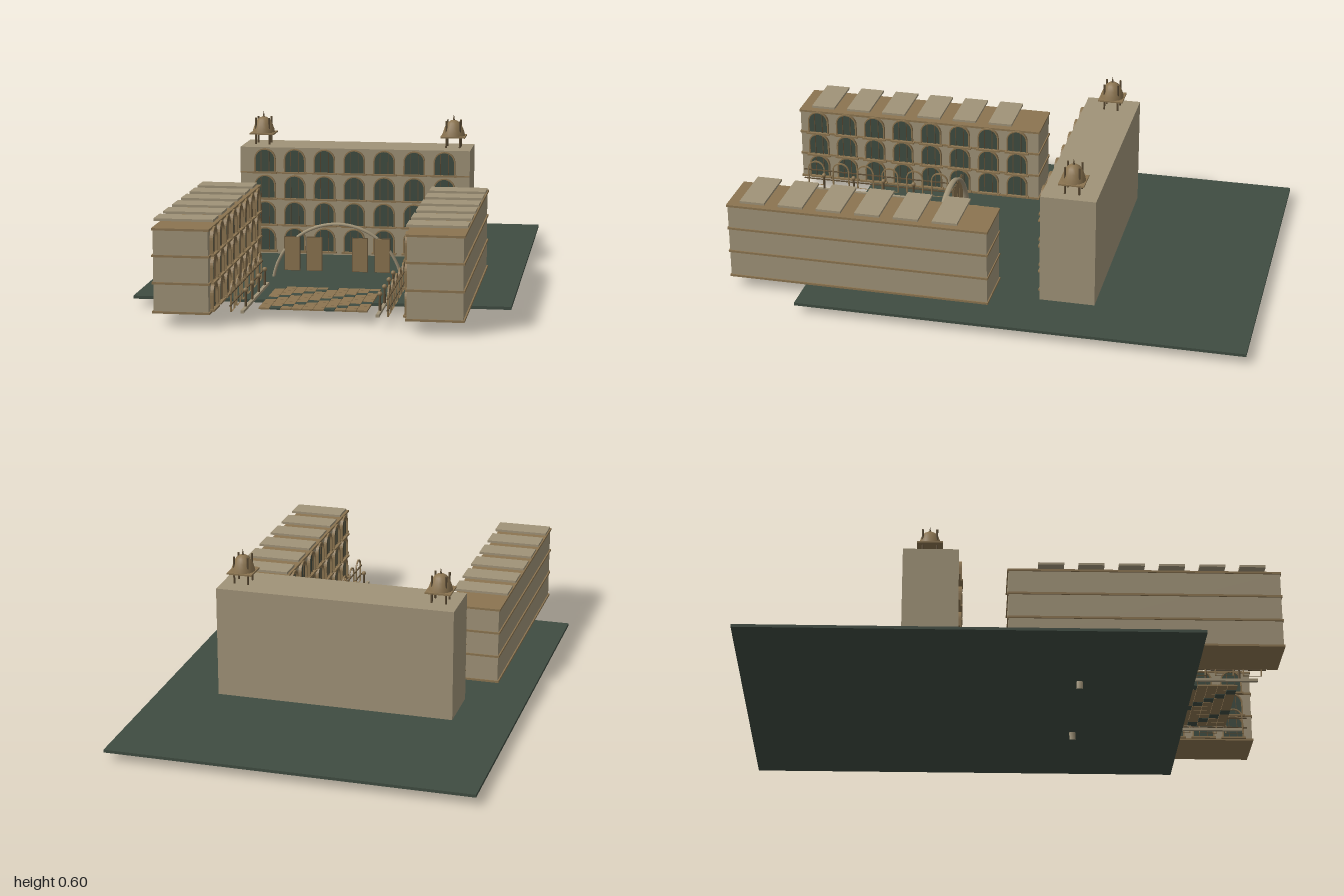
import * as THREE from 'three';

const mat = (name, color, side = THREE.FrontSide) => {
  const m = new THREE.MeshStandardMaterial({ color, side });
  m.name = name;
  return m;
};
const stone = mat('sandstone', 0xa09378);
const wood = mat('brown stone', 0x8b7450, THREE.DoubleSide);
const trim = mat('dark trim', 0x5e4e36);
const green = mat('dark green', 0x3f4c41, THREE.DoubleSide);

function add(parent, name, geo, material, x = 0, y = 0, z = 0) {
  const m = new THREE.Mesh(geo, material);
  m.name = name;
  m.position.set(x, y, z);
  parent.add(m);
  return m;
}

// Box given by its minimum and maximum on each axis
function box(parent, name, material, x0, x1, y0, y1, z0, z1) {
  return add(parent, name, new THREE.BoxGeometry(x1 - x0, y1 - y0, z1 - z0), material,
    (x0 + x1) / 2, (y0 + y1) / 2, (z0 + z1) / 2);
}

function group(parent, name, x = 0, y = 0, z = 0) {
  const g = new THREE.Group();
  g.name = name;
  g.position.set(x, y, z);
  parent.add(g);
  return g;
}

// Round-headed outline standing on y = 0
function archOutline(Type, half, spring) {
  const p = new Type();
  p.moveTo(-half, 0);
  p.lineTo(half, 0);
  p.lineTo(half, spring);
  p.absarc(0, spring, half, 0, Math.PI, false);
  p.lineTo(-half, 0);
  return p;
}

function archFrame(outer, inner, spring, depth) {
  const s = archOutline(THREE.Shape, outer, spring);
  s.holes.push(archOutline(THREE.Path, inner, spring));
  return new THREE.ExtrudeGeometry(s, { depth, bevelEnabled: false, curveSegments: 8 });
}

const paneGeo = new THREE.ShapeGeometry(archOutline(THREE.Shape, 0.039, 0.053), 8);
const frameGeo = archFrame(0.043, 0.038, 0.053, 0.012);
const sillGeo = new THREE.BoxGeometry(0.098, 0.007, 0.016);
const barGeo = new THREE.BoxGeometry(0.003, 0.082, 0.004);

// Arched window facing +z with frame, sill and two bars
function archWindow(parent, x, y, z, turn = 0) {
  const g = group(parent, 'archedWindow', x, y, z);
  g.rotation.y = turn;
  add(g, 'pane', paneGeo, green, 0, 0, 0.003);
  add(g, 'frame', frameGeo, wood);
  add(g, 'sill', sillGeo, wood, 0, -0.001, 0.008);
  for (const s of [-1, 1]) add(g, 'bar', barGeo, trim, s * 0.016, 0.042, 0.005);
}

// Four-posted roof pavilion with dome
function cupola(parent, x) {
  const g = group(parent, 'cupola', x, 0.472, -0.3);
  for (const sx of [-1, 1]) for (const sz of [-1, 1]) {
    add(g, 'post', new THREE.CylinderGeometry(0.004, 0.004, 0.11, 8), trim, sx * 0.027, 0.052, sz * 0.027);
  }
  box(g, 'eave', wood, -0.049, 0.049, 0.041, 0.047, -0.049, 0.049);
  const profile = [[0.046, 0.047], [0.043, 0.06], [0.036, 0.08], [0.026, 0.098], [0.013, 0.107], [0, 0.11]]
    .map(([r, y]) => new THREE.Vector2(r, y));
  add(g, 'dome', new THREE.LatheGeometry(profile, 16), wood);
  add(g, 'finial', new THREE.ConeGeometry(0.005, 0.026, 8), trim, 0, 0.119, 0);
}

function mainBuilding(parent) {
  const g = group(parent, 'mainBuilding');
  box(g, 'mainBlock', stone, -0.46, 0.46, 0.042, 0.472, -0.4, -0.19);
  for (let row = 0; row < 4; row++) {
    for (let i = -3; i <= 3; i++) archWindow(g, i * 0.12, 0.054 + row * 0.106, -0.19);
    if (row) box(g, 'floorLedge', wood, -0.46, 0.46, 0.05 + row * 0.106, 0.055 + row * 0.106, -0.19, -0.183);
  }
  for (const s of [-1, 1]) cupola(g, s * 0.385);
}

function wing(parent, s) {
  const g = group(parent, s > 0 ? 'leftWing' : 'rightWing', s * 0.447);
  box(g, 'wingBlock', stone, -0.098, 0.098, 0.048, 0.345, -0.008, 0.996);
  for (const y of [0.049, 0.153, 0.25, 0.345]) {
    box(g, 'floorBand', wood, -0.103, 0.103, y - 0.004, y + 0.004, -0.012, 1);
  }
  // Raised roof slabs
  for (let i = 0; i < 6; i++) {
    const z = 0.15 + i * 0.149;
    box(g, 'roofSlab', stone, -0.107, 0.107, 0.365, 0.374, z - 0.048, z + 0.048);
  }
  // Courtyard windows
  for (let row = 0; row < 3; row++) for (let i = 0; i < 8; i++) {
    archWindow(g, -s * 0.098, 0.055 + row * 0.098, 0.08 + i * 0.12, -s * Math.PI / 2);
  }
}

// Long kerb with posts, and a row of slim arched screens behind it
function courtyardEdge(parent, s) {
  const g = group(parent, s > 0 ? 'leftRail' : 'rightRail');
  box(g, 'kerb', stone, s * 0.24 - 0.006, s * 0.24 + 0.006, 0.042, 0.052, 0.43, 0.94);
  for (let i = 0; i < 4; i++) {
    const z = 0.49 + i * 0.127;
    add(g, 'railPost', new THREE.CylinderGeometry(0.004, 0.005, 0.06, 8), trim, s * 0.24, 0.08, z);
    add(g, 'postCap', new THREE.SphereGeometry(0.009, 10, 8), wood, s * 0.24, 0.112, z);
  }
  const screen = archFrame(0.036, 0.031, 0.07, 0.006);
  for (let i = 0; i < 6; i++) {
    const a = group(g, 'archScreen', s * 0.278, 0.048, 0.39 + i * 0.105);
    a.rotation.y = Math.PI / 2;
    add(a, 'screenFrame', screen, wood, 0, 0, -0.003);
    for (const y of [0.025, 0.065]) add(a, 'screenRail', new THREE.BoxGeometry(0.105, 0.004, 0.005), trim, 0, y, 0);
  }
}

function paving(parent) {
  const g = group(parent, 'paving');
  const tile = new THREE.BoxGeometry(0.0375, 0.006, 0.0365);
  for (let j = 0; j < 10; j++) for (let i = 0; i < 10; i++) {
    add(g, 'tile', tile, (i + j) % 5 ? wood : green, (i - 4.5) * 0.039, 0.046, 0.509 + j * 0.038);
  }
}

function gateway(parent) {
  const g = group(parent, 'gateway', 0, 0, 0.268);
  const arch = add(g, 'gateArch', new THREE.TorusGeometry(0.249, 0.006, 8, 40, Math.PI), stone);
  arch.scale.z = 2;
  // Upright panels under the arch
  for (const x of [-0.172, -0.087, 0.087, 0.172]) {
    box(g, 'gatePanel', wood, x - 0.028, x + 0.028, 0.07, 0.197, 0.004, 0.012);
    box(g, 'panelEdge', trim, x - 0.03, x + 0.03, 0.068, 0.199, 0.005, 0.01);
  }
}

export function createModel() {
  const model = new THREE.Group();
  model.name = 'courtyardPalace';
  box(model, 'ground', green, -0.69, 0.69, 0.031, 0.042, -1, 0.7);
  mainBuilding(model);
  for (const s of [-1, 1]) {
    wing(model, s);
    courtyardEdge(model, s);
  }
  paving(model);
  gateway(model);
  return model;
}
